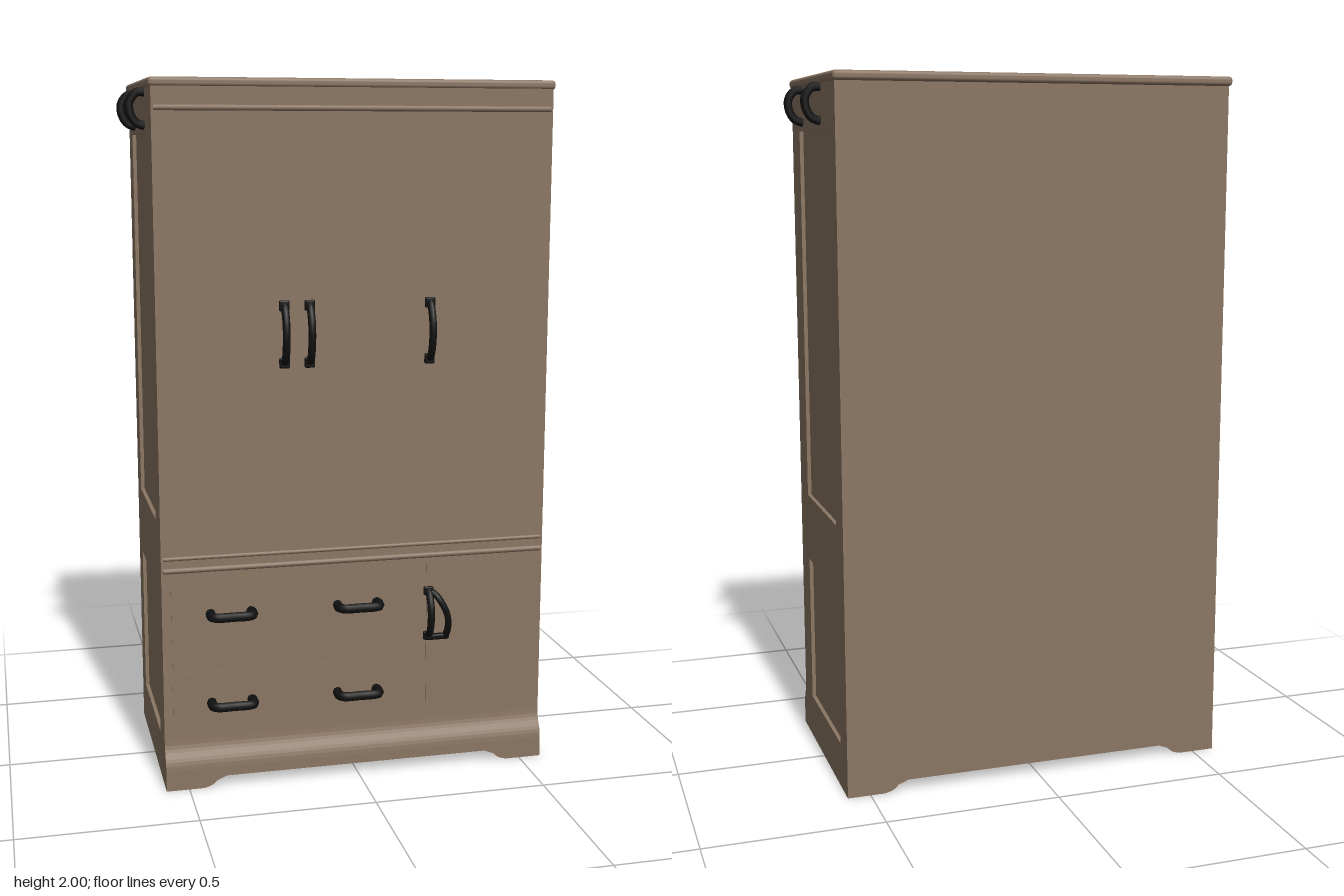
import * as THREE from 'three';
import { RoundedBoxGeometry } from 'three/addons/geometries/RoundedBoxGeometry.js';

export function createModel() {
  const root = new THREE.Group();
  const wood = new THREE.MeshStandardMaterial({ color: 0x8b7663 });
  wood.name = 'brown wood';
  const iron = new THREE.MeshStandardMaterial({ color: 0x111111 });
  iron.name = 'black iron';

  const add = (name, geometry, material = wood, x = 0, y = 0, z = 0, parent = root) => {
    const mesh = new THREE.Mesh(geometry, material);
    mesh.name = name;
    mesh.position.set(x, y, z);
    parent.add(mesh);
    return mesh;
  };
  const box = (name, w, h, d, x, y, z) => add(name, new THREE.BoxGeometry(w, h, d), wood, x, y, z);
  const extrude = (shape, depth) =>
    new THREE.ExtrudeGeometry(shape, { depth, bevelEnabled: false, curveSegments: 8 });
  const tube = (points, radius) => new THREE.TubeGeometry(
    new THREE.CatmullRomCurve3(points.map(p => new THREE.Vector3(...p)), false, 'centripetal'), 28, radius, 8);

  // Cabinet core, hollow underneath
  box('cabinetBody', 1.11, 1.88, 0.59, 0, 1.04, -0.025);

  // Side boards: flared foot at the front, two recessed panels
  // Shape x runs towards the back, so that a quarter turn puts it on -z
  const sideShape = new THREE.Shape();
  sideShape.moveTo(0.32, 0);
  sideShape.lineTo(0.32, 1.98);
  sideShape.lineTo(-0.27, 1.98);
  sideShape.lineTo(-0.27, 0.14);
  sideShape.bezierCurveTo(-0.27, 0.1, -0.295, 0.1, -0.295, 0.06);
  sideShape.lineTo(-0.295, 0);
  sideShape.closePath();
  for (const [y0, y1] of [[0.13, 0.57], [0.77, 1.85]]) {
    const hole = new THREE.Path();
    hole.moveTo(-0.165, y0);
    hole.lineTo(-0.165, y1);
    hole.lineTo(0.235, y1);
    hole.lineTo(0.235, y0);
    hole.closePath();
    sideShape.holes.push(hole);
  }
  const sideGeometry = extrude(sideShape, 0.012);
  sideGeometry.rotateY(Math.PI / 2);
  for (const s of [-1, 1]) {
    add('sideBoard', sideGeometry, wood, s > 0 ? 0.554 : -0.566);
    box('sideFootWall', 0.02, 0.1, 0.59, s * 0.546, 0.05, -0.025);
  }

  // Front plinth: flared moulding above a board cut out between the feet
  const flare = new THREE.Shape();
  flare.moveTo(-0.25, 0.05);
  flare.lineTo(-0.25, 0.14);
  flare.lineTo(-0.27, 0.14);
  flare.bezierCurveTo(-0.27, 0.1, -0.295, 0.1, -0.295, 0.06);
  flare.lineTo(-0.295, 0.05);
  flare.closePath();
  const flareGeometry = extrude(flare, 1.112);
  flareGeometry.rotateY(Math.PI / 2);
  add('plinthMoulding', flareGeometry, wood, -0.556);

  const feet = new THREE.Shape();
  feet.moveTo(-0.556, 0);
  feet.lineTo(-0.46, 0);
  feet.quadraticCurveTo(-0.43, 0.004, -0.42, 0.02);
  feet.lineTo(-0.39, 0.032);
  feet.lineTo(0.39, 0.032);
  feet.lineTo(0.42, 0.02);
  feet.quadraticCurveTo(0.43, 0.004, 0.46, 0);
  feet.lineTo(0.556, 0);
  feet.lineTo(0.556, 0.05);
  feet.lineTo(-0.556, 0.05);
  feet.closePath();
  add('frontFeetBoard', extrude(feet, 0.045), wood, 0, 0, 0.25);
  add('backFeetBoard', extrude(feet, 0.02), wood, 0, 0, -0.32);
  box('frontInnerRail', 1.1, 0.06, 0.02, 0, 0.075, 0.26);
  box('backInnerRail', 1.112, 0.06, 0.02, 0, 0.075, -0.31);

  // Top board and the slim mouldings across the front
  add('topBoard', new RoundedBoxGeometry(1.146, 0.026, 0.607, 3, 0.01), wood, 0, 1.987, -0.03);
  for (const [y, r] of [[1.92, 0.008], [0.645, 0.008], [0.68, 0.006]]) {
    const bead = new THREE.CylinderGeometry(r, r, 1.12, 10);
    bead.rotateZ(Math.PI / 2);
    add('frontBead', bead, wood, 0, y, 0.268);
  }

  // Shallow drawer fronts and the small door
  box('upperDrawer', 0.74, 0.27, 0.006, -0.17, 0.485, 0.269);
  box('lowerDrawer', 0.74, 0.18, 0.006, -0.17, 0.25, 0.269);
  box('smallDoor', 0.33, 0.46, 0.006, 0.375, 0.39, 0.269);

  // Arched door handles with flat end plates
  const doorArc = tube([[0, -0.08, 0], [0, -0.065, 0.022], [0, -0.02, 0.036],
    [0, 0.03, 0.034], [0, 0.07, 0.016], [0, 0.085, 0]], 0.011);
  const addDoorHandle = (x, y, scale = 1) => {
    const handle = new THREE.Group();
    handle.name = 'doorHandle';
    handle.position.set(x, y, 0.27);
    handle.scale.y = scale;
    add('handleArc', doorArc, iron, 0, 0, 0, handle);
    for (const s of [-1, 1])
      add('handlePlate', new RoundedBoxGeometry(0.03, 0.03, 0.012, 2, 0.005), iron, 0, s * 0.08, 0.004, handle);
    root.add(handle);
  };
  for (const x of [-0.21, -0.138, 0.21]) addDoorHandle(x, 1.305);

  // Small door latch: upright arc joined to a bent bar
  addDoorHandle(0.215, 0.47, 0.85);
  add('latchBar', tube([[0.225, 0.535, 0.28], [0.24, 0.52, 0.295], [0.265, 0.47, 0.302],
    [0.27, 0.43, 0.295], [0.268, 0.395, 0.275]], 0.01), iron);
  add('latchFoot', new RoundedBoxGeometry(0.075, 0.018, 0.018, 2, 0.006), iron, 0.241, 0.397, 0.276);

  // Squared drawer pulls
  const pull = tube([[-0.058, 0, 0], [-0.06, 0, 0.03], [-0.05, 0, 0.048], [0, 0, 0.05],
    [0.05, 0, 0.048], [0.06, 0, 0.03], [0.058, 0, 0]], 0.014);
  for (const x of [-0.37, 0])
    for (const y of [0.25, 0.515]) add('drawerPull', pull, iron, x, y, 0.27);

  // Loop handles high on both sides
  for (const s of [-1, 1]) {
    const loop = tube([[0, 0.045, 0], [s * 0.022, 0.043, 0], [s * 0.041, 0.02, 0],
      [s * 0.041, -0.01, 0], [s * 0.025, -0.037, 0], [0, -0.047, 0]], 0.012);
    for (const z of [-0.135, 0.11]) add('sideHandle', loop, iron, s * 0.565, 1.92, z);
  }
  return root;
}
